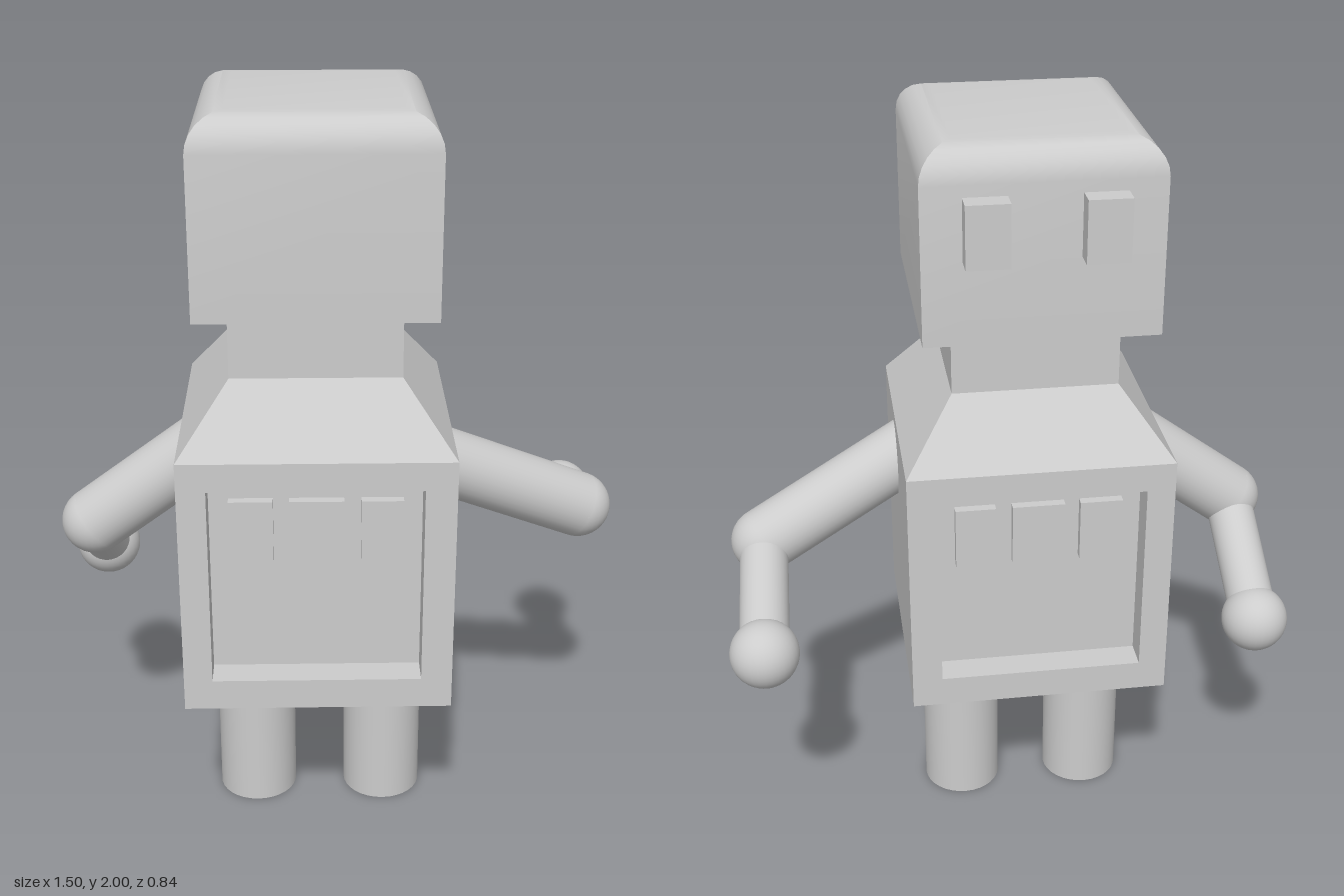
import * as THREE from 'three';
import { toCreasedNormals } from 'three/addons/utils/BufferGeometryUtils.js';

const CX = -0.063, CZ = 0.076; // centre line of body and head

export function createModel() {
  const root = new THREE.Group();
  root.name = 'robot';
  const grey = new THREE.MeshStandardMaterial({ color: 0xcccccc });
  grey.name = 'light grey';

  const add = (name, geometry, x = 0, y = 0, z = 0, parent = root) => {
    const mesh = new THREE.Mesh(geometry, grey);
    mesh.name = name;
    mesh.position.set(x, y, z);
    parent.add(mesh);
    return mesh;
  };

  // Box given by its limits on each axis
  const box = (name, x0, x1, y0, y1, z0, z1) =>
    add(name, new THREE.BoxGeometry(x1 - x0, y1 - y0, z1 - z0),
      (x0 + x1) / 2, (y0 + y1) / 2, (z0 + z1) / 2);

  // Closed solid from stacked rectangles [halfX, halfZ, y]
  const rectStack = (rings) => {
    const pos = [], idx = [];
    for (const [hx, hz, y] of rings) {
      pos.push(-hx, y, hz, hx, y, hz, hx, y, -hz, -hx, y, -hz);
    }
    for (let i = 0; i < rings.length - 1; i++) {
      for (let k = 0; k < 4; k++) {
        const a = i * 4 + k, b = i * 4 + (k + 1) % 4;
        idx.push(a, b, b + 4, a, b + 4, a + 4);
      }
    }
    const t = (rings.length - 1) * 4;
    idx.push(0, 2, 1, 0, 3, 2, t, t + 1, t + 2, t, t + 2, t + 3);
    const g = new THREE.BufferGeometry();
    g.setAttribute('position', new THREE.Float32BufferAttribute(pos, 3));
    g.setIndex(idx);
    return toCreasedNormals(g, Math.PI / 6);
  };

  // Head: sharp sides, rounded upper edges
  const R = 0.085, headRings = [[0.291, 0.321, 1.52]];
  for (let i = 0; i <= 6; i++) {
    const a = (i / 6) * Math.PI / 2, inset = R * (1 - Math.cos(a));
    headRings.push([0.291 - inset, 0.321 - inset, 2 - R + R * Math.sin(a)]);
  }
  add('head', rectStack(headRings), CX, 0, CZ);

  // Raised blocks on the back of the head
  for (const x of [-0.259, 0.023]) box('eye', x, x + 0.106, 1.73, 1.886, -0.301, -0.24);

  // Neck and sloping shoulders
  box('neck', CX - 0.2125, CX + 0.2125, 1.34, 1.525, CZ - 0.2125, CZ + 0.2125);
  add('shoulders', rectStack([[0.343, 0.343, 1.173], [0.2125, 0.2125, 1.343]]), CX, 0, CZ);

  // Body: core with a recessed frame on front and back
  const H = 0.343, depth = 0.08, y0 = 0.483, y1 = 1.173;
  box('bodyCore', CX - H, CX + H, y0, y1, CZ - H + depth, CZ + H - depth);
  const rect = (Type, xa, xb, ya, yb) => new Type([
    [xa, ya], [xb, ya], [xb, yb], [xa, yb]].map((p) => new THREE.Vector2(...p)));
  const frame = rect(THREE.Shape, CX - H, CX + H, y0, y1);
  frame.holes.push(rect(THREE.Path, -0.333, 0.201, 0.565, 1.098));
  const frameGeometry = new THREE.ExtrudeGeometry(frame, { depth, bevelEnabled: false });
  add('frontFrame', frameGeometry, 0, 0, CZ + H - depth);
  add('backFrame', frameGeometry, 0, 0, CZ - H);

  // Buttons inside both recesses
  for (const [xa, xb] of [[-0.283, -0.172], [-0.132, 0.005], [0.048, 0.153]]) {
    box('frontButton', xa, xb, 0.878, 1.045, CZ + H - depth - 0.01, CZ + H - 0.055);
    box('backButton', xa, xb, 0.878, 1.045, CZ - H + 0.055, CZ - H + depth + 0.01);
  }

  // Legs
  for (const [name, x] of [['rightLeg', -0.235], ['leftLeg', 0.12]]) {
    add(name, new THREE.CylinderGeometry(0.108, 0.108, 0.49, 32), x, 0.245, 0.044);
  }

  // Arms: upper arm, elbow, forearm, ball hand
  const limb = (name, a, b, r, parent) => {
    const dir = b.clone().sub(a);
    const mesh = add(name, new THREE.CylinderGeometry(r, r, dir.length(), 32), 0, 0, 0, parent);
    mesh.position.copy(a).add(b).multiplyScalar(0.5);
    mesh.quaternion.setFromUnitVectors(new THREE.Vector3(0, 1, 0), dir.normalize());
  };
  const arm = (name, shoulder, elbow, hand) => {
    const group = new THREE.Group();
    group.name = name;
    root.add(group);
    const [s, e, h] = [shoulder, elbow, hand].map((p) => new THREE.Vector3(...p));
    const inner = s.clone().lerp(e, -0.3); // start inside the body
    limb('upperArm', inner, e, 0.088, group);
    add('elbow', new THREE.SphereGeometry(0.088, 32, 20), ...elbow, group);
    limb('forearm', e, h, 0.064, group);
    add('hand', new THREE.SphereGeometry(0.089, 32, 20), ...hand, group);
  };
  arm('leftArm', [0.28, 1.04, 0.118], [0.648, 0.865, 0.018], [0.658, 0.74, -0.332]);
  arm('rightArm', [-0.405, 1.046, 0.088], [-0.652, 0.865, 0.088], [-0.663, 0.645, -0.214]);

  return root;
}
